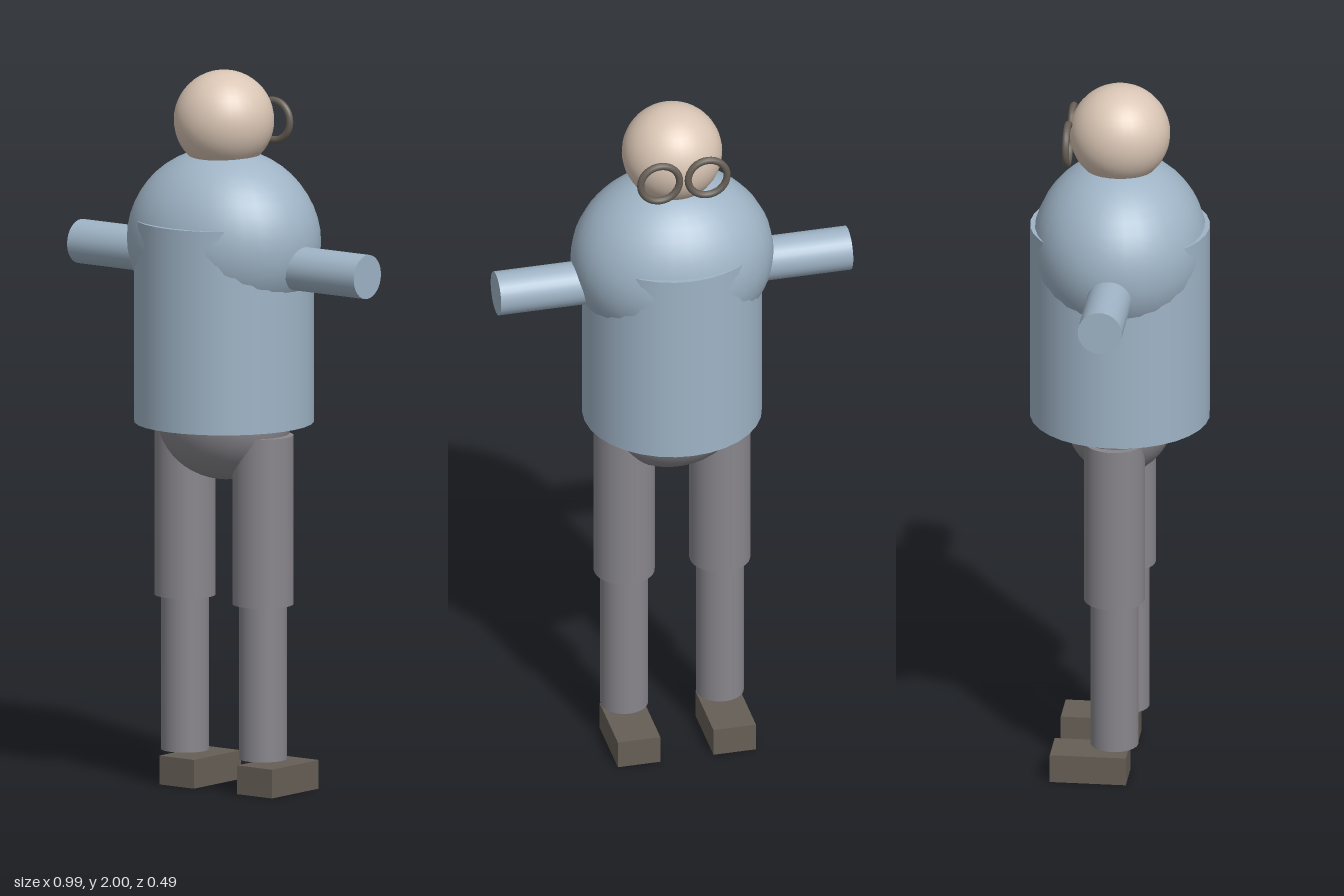
import * as THREE from 'three';

function material(name, color) {
  const m = new THREE.MeshStandardMaterial({ color });
  m.name = name;
  return m;
}

export function createModel() {
  const model = new THREE.Group();
  model.name = 'figure';

  const skin = material('skin', 0xdac6b5);
  const shirt = material('shirt blue', 0x9fb4c6);
  const trousers = material('trouser grey', 0x88868c);
  const leather = material('dark brown', 0x665f56);

  function add(name, geometry, mat, x, y, z) {
    const mesh = new THREE.Mesh(geometry, mat);
    mesh.name = name;
    mesh.position.set(x, y, z);
    model.add(mesh);
    return mesh;
  }
  const ellipsoid = (rx, ry, rz) => new THREE.SphereGeometry(1, 32, 24).scale(rx, ry, rz);
  const cylinder = (r, h) => new THREE.CylinderGeometry(r, r, h, 32);

  // Head and body
  add('head', ellipsoid(0.138, 0.138, 0.138), skin, 0, 1.862, 0);
  add('shoulders', ellipsoid(0.281, 0.255, 0.24), shirt, 0, 1.53, 0);
  add('torso', cylinder(0.247, 0.565), shirt, 0, 1.3075, 0);
  add('hips', ellipsoid(0.2, 0.165, 0.152), trousers, 0, 1.03, 0);

  // Mirrored limbs, shoes and spectacle rims (the face looks towards -z)
  for (const [side, s] of [['left', 1], ['right', -1]]) {
    add(side + 'Arm', cylinder(0.061, 0.32).rotateZ(Math.PI / 2), shirt, s * 0.337, 1.475, 0);
    add(side + 'UpperLeg', cylinder(0.084, 0.47), trousers, s * 0.135, 0.765, 0);
    add(side + 'LowerLeg', cylinder(0.066, 0.46), trousers, s * 0.135, 0.33, 0);
    add(side + 'Shoe', new THREE.BoxGeometry(0.12, 0.08, 0.21), leather, s * 0.135, 0.04, -0.067);
    add(side + 'SpectacleRim', new THREE.TorusGeometry(0.055, 0.01, 12, 32), leather, s * 0.067, 1.85, -0.137);
  }
  return model;
}
